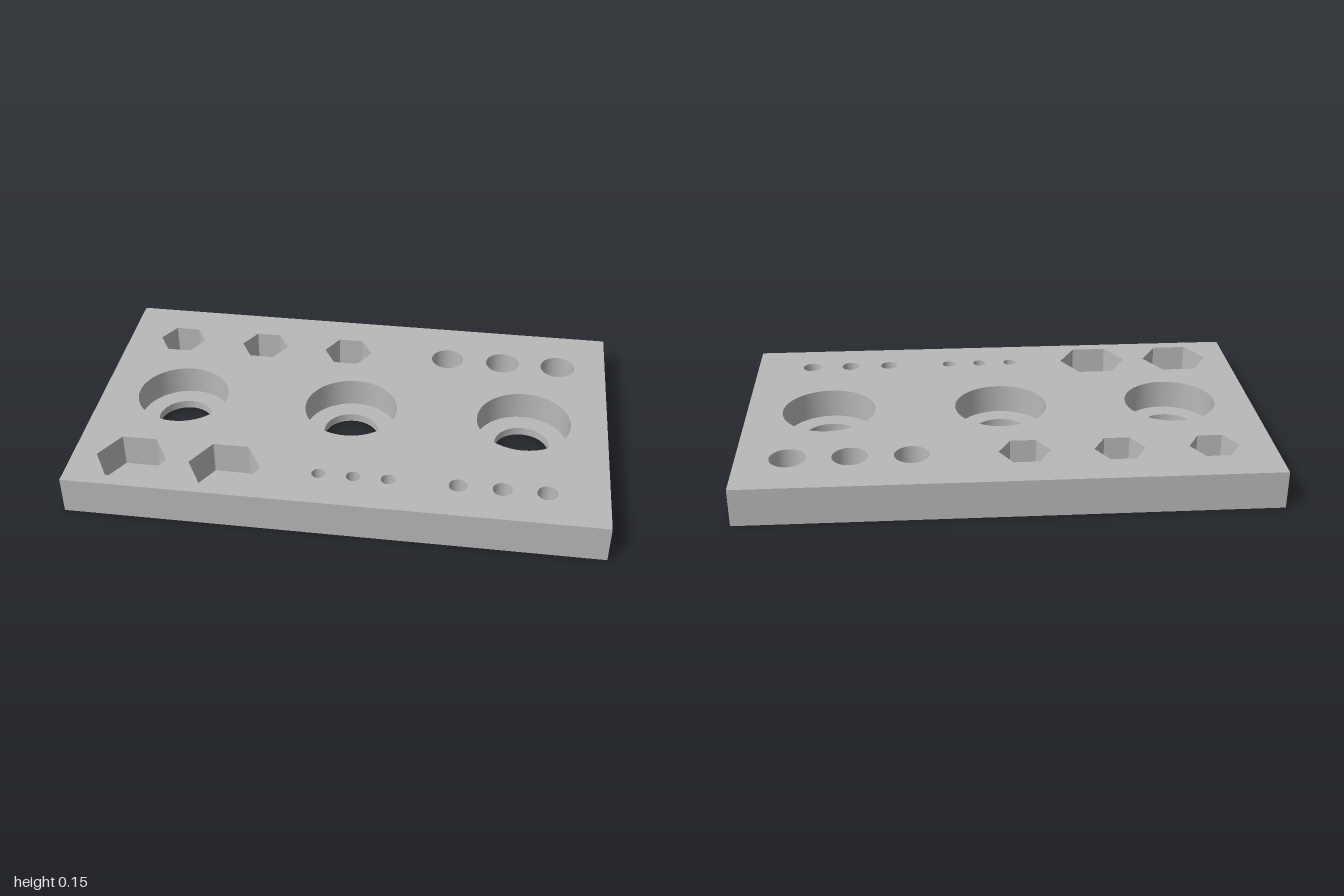
import * as THREE from 'three';
import { mergeGeometries } from 'three/addons/utils/BufferGeometryUtils.js';

const W = 2, D = 1.194, H = 0.147;
const SHOULDER = 0.033; // floor level of the bearing seats
const FLOOR = 0.017; // floor level of the blind pockets
const ROUND = 48, HEX = 6;

// Each recess: name, x, z, sides, and profile [radius, y] running down and inward
const recesses = [];
const add = (name, x, z, sides, profile) => recesses.push({ name, x, z, sides, profile });
const blind = (r) => [[r, H], [r, FLOOR], [0, FLOOR]];

[[-0.775, 0.094], [-0.42, 0.096], [-0.065, 0.0975]].forEach(([x, r]) => add('smallHexPocket', x, -0.375, HEX, blind(r)));
[[-0.775, 0.134], [-0.42, 0.136]].forEach(([x, r]) => add('largeHexPocket', x, 0.432, HEX, blind(r)));
[[0.353, 0.065], [0.58, 0.067], [0.807, 0.069]].forEach(([x, r]) => add('throughHole', x, -0.375, ROUND, [[r, H], [r, 0]]));
[[-0.678, 0.179], [0, 0.181], [0.678, 0.182]].forEach(([x, r]) =>
  add('bearingSeat', x, 0.014, ROUND, [[r, H], [r, SHOULDER], [0.107, SHOULDER], [0.107, 0]]));
[[-0.065, 0.026], [0.064, 0.0265], [0.194, 0.027], [0.45, 0.034], [0.612, 0.036], [0.774, 0.0375]]
  .forEach(([x, r]) => add('screwHole', x, 0.433, ROUND, blind(r)));

// Plate face at height y, pierced by the given holes; dir is 1 facing up, -1 facing down
function plateFace(holes, y, dir) {
  const shape = new THREE.Shape([[-1, -1], [1, -1], [1, 1], [-1, 1]]
    .map(([sx, sy]) => new THREE.Vector2(sx * W / 2, sy * D / 2)));
  for (const { x, z, sides, r } of holes) {
    const points = [];
    for (let i = 0; i < sides; i++) {
      const a = (i / sides) * Math.PI * 2;
      points.push(new THREE.Vector2(x + r * Math.cos(a), -dir * z + r * Math.sin(a)));
    }
    shape.holes.push(new THREE.Path(points));
  }
  return new THREE.ShapeGeometry(shape).rotateX(-dir * Math.PI / 2).translate(0, y, 0);
}

// Walls and floors of a recess, one ring per profile step so the edges stay sharp
function recessGeometry({ sides, profile }) {
  const rings = profile.slice(1).map((end, i) => {
    const points = [profile[i], end].map(([r, y]) => new THREE.Vector2(r, y));
    let ring = new THREE.LatheGeometry(points, sides, Math.PI / 6);
    if (sides === HEX) {
      ring = ring.toNonIndexed();
      ring.computeVertexNormals();
    }
    return ring;
  });
  return mergeGeometries(rings);
}

export function createModel() {
  const group = new THREE.Group();
  const grey = new THREE.MeshStandardMaterial({ color: 0xb8b8b8 });
  grey.name = 'plate grey';
  const mesh = (name, geometry) => {
    const m = new THREE.Mesh(geometry, grey);
    m.name = name;
    group.add(m);
    return m;
  };

  // Outer rim: a box without its top and bottom faces
  const rim = new THREE.BoxGeometry(W, H, D).translate(0, H / 2, 0);
  const index = Array.from(rim.index.array);
  rim.setIndex([...index.slice(0, 12), ...index.slice(24)]);
  rim.clearGroups();
  mesh('plateSides', rim);

  // Pierced top and bottom faces
  const top = recesses.map((h) => ({ ...h, r: h.profile[0][0] }));
  const bottom = recesses.filter((h) => h.profile.at(-1)[1] === 0).map((h) => ({ ...h, r: h.profile.at(-1)[0] }));
  mesh('plateTop', plateFace(top, H, 1));
  mesh('plateBottom', plateFace(bottom, 0, -1));

  // Pockets, seats and holes
  for (const h of recesses) mesh(h.name, recessGeometry(h)).position.set(h.x, 0, h.z);

  return group;
}
